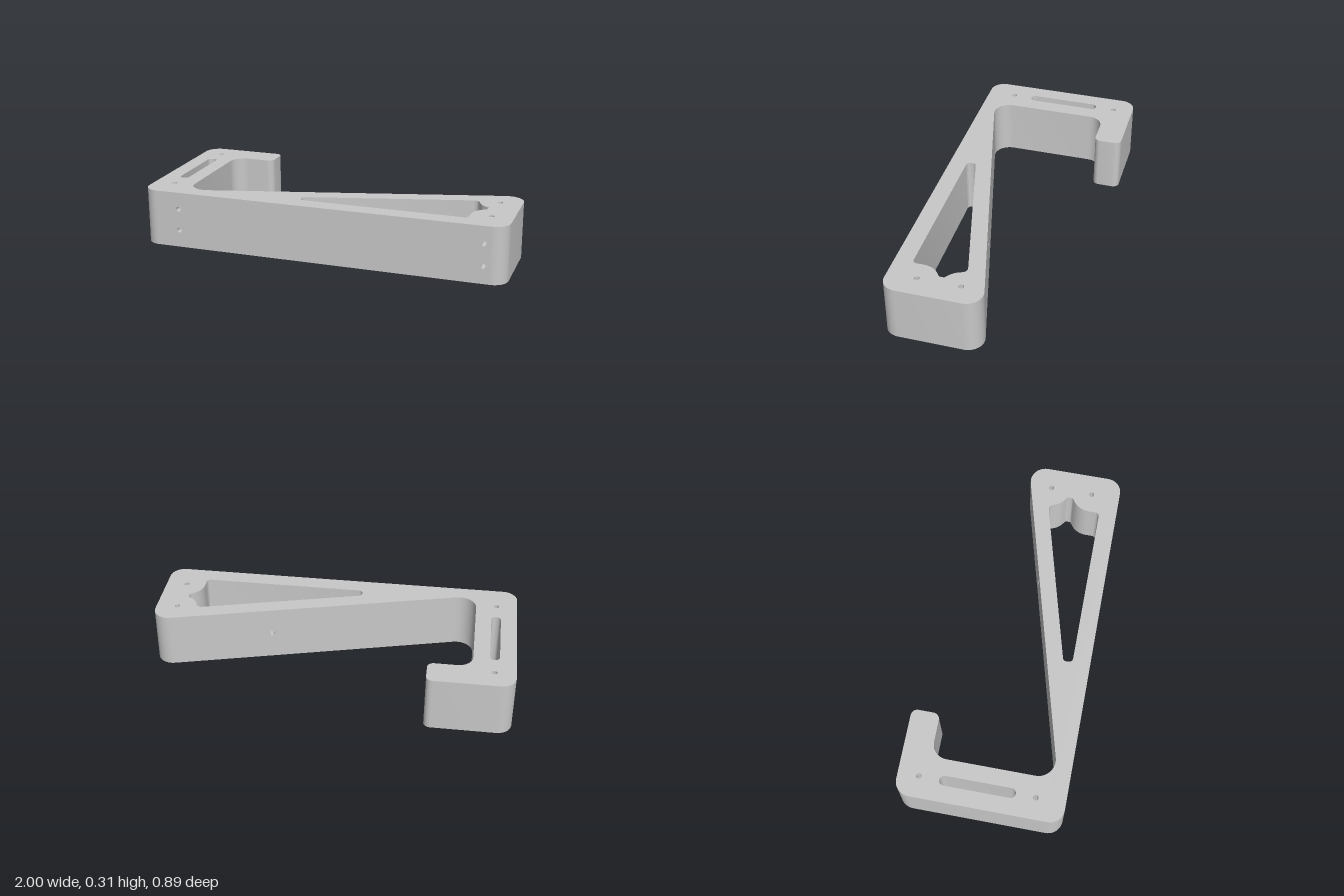
import * as THREE from 'three';
import { toCreasedNormals } from 'three/addons/utils/BufferGeometryUtils.js';

const H = 0.308, DEPTH = 0.443, TILT = Math.PI / 12;
const gray = new THREE.MeshStandardMaterial({ color: 0xc8c8c8, side: THREE.DoubleSide });
gray.name = 'light machined gray';

// Sloped edges of the arm, as z at a given x
const outerSlope = x => 0.348 - Math.tan(TILT) * (x + 0.655);
const innerSlope = x => 0.29 - Math.tan(TILT) * (x + 0.1);

// Closed outline from [x, z, cornerRadius] corners, in plan
function rounded(corners) {
  const out = [], n = corners.length;
  corners.forEach(([x, z, r], i) => {
    const c = new THREE.Vector2(x, -z);
    if (!r) { out.push(c); return; }
    const toward = k => new THREE.Vector2(corners[k][0], -corners[k][1]).sub(c).normalize();
    const a = toward((i + n - 1) % n), b = toward((i + 1) % n);
    const half = Math.acos(a.dot(b)) / 2;
    const center = a.clone().add(b).normalize().multiplyScalar(r / Math.sin(half)).add(c);
    const start = a.clone().multiplyScalar(r / Math.tan(half)).add(c).sub(center);
    const end = b.clone().multiplyScalar(r / Math.tan(half)).add(c).sub(center);
    const sweep = Math.atan2(start.cross(end), start.dot(end));
    for (let k = 0; k <= 10; k++) {
      out.push(start.clone().rotateAround(new THREE.Vector2(), sweep * k / 10).add(center));
    }
  });
  return out;
}

function circle(x, y, r) {
  return new THREE.Path().absarc(x, y, r, 0, Math.PI * 2, true);
}

// Points on a round boss, angles in degrees measured toward +z
function bossArc(x, z, r, from, to) {
  return Array.from({ length: 7 }, (_, i) => {
    const a = THREE.MathUtils.degToRad(from + (to - from) * i / 6);
    return [x + r * Math.cos(a), z + r * Math.sin(a), 0];
  });
}

function bodyGeometry() {
  const shape = new THREE.Shape(rounded([
    [-1, -DEPTH, 0.08], [-1, DEPTH, 0.08], [1, DEPTH, 0.08], [1, outerSlope(1), 0.085],
    [-0.773, outerSlope(-0.773), 0.09], [-0.773, -0.291, 0.08],
    [-0.538, -0.291, 0.035], [-0.538, -DEPTH, 0.035],
  ]));
  // Long slot in the upright
  shape.holes.push(new THREE.Path(rounded([
    [-0.912, -0.222, 0.0255], [-0.86, -0.222, 0.0255], [-0.86, 0.18, 0.0255], [-0.912, 0.18, 0.0255],
  ])));
  // Tapered pocket wrapping around two screw bosses
  shape.holes.push(new THREE.Path(rounded([
    [-0.127, 0.347, 0.023], [-0.127, innerSlope(-0.127), 0.02], [0.775, innerSlope(0.775), 0.03],
    ...bossArc(0.884, 0.055, 0.107, 165, 120),
    [0.842, 0.156, 0.01], [0.842, 0.184, 0.01],
    ...bossArc(0.884, 0.285, 0.107, 240, 180),
    [0.777, 0.347, 0.022],
  ])));
  // Vertical screw holes
  for (const [x, z] of [[-0.886, -0.33], [-0.886, 0.285], [0.884, 0.055], [0.884, 0.285]]) {
    shape.holes.push(circle(x, -z, 0.0145));
  }
  const geo = new THREE.ExtrudeGeometry(shape, { depth: H, bevelEnabled: false, curveSegments: 12 });
  geo.rotateX(-Math.PI / 2);
  return toCreasedNormals(geo, 0.6);
}

// Replace one flat wall of the body by a panel with blind screw holes
function drillWall(group, geo, name, origin, normal, holes, r, depth) {
  const up = new THREE.Vector3(0, 1, 0), along = up.clone().cross(normal);
  const keep = [], v = new THREE.Vector3();
  let min = Infinity, max = -Infinity;
  const pos = geo.attributes.position;
  for (let i = 0; i < pos.count; i += 3) {
    const offsets = [0, 1, 2].map(k => v.fromBufferAttribute(pos, i + k).sub(origin).clone());
    if (offsets.every(o => Math.abs(o.dot(normal)) < 1e-4)) {
      for (const o of offsets) {
        min = Math.min(min, o.dot(along));
        max = Math.max(max, o.dot(along));
      }
    } else keep.push(i, i + 1, i + 2);
  }
  geo.clearGroups();
  for (const key of Object.keys(geo.attributes)) {
    const attr = geo.attributes[key], size = attr.itemSize;
    const data = new Float32Array(keep.length * size);
    keep.forEach((src, j) => {
      for (let c = 0; c < size; c++) data[j * size + c] = attr.array[src * size + c];
    });
    geo.setAttribute(key, new THREE.BufferAttribute(data, size));
  }

  const wall = new THREE.Group();
  wall.name = name;
  const add = (part, geometry) => {
    const mesh = new THREE.Mesh(geometry, gray);
    mesh.name = part;
    wall.add(mesh);
  };
  const shape = new THREE.Shape([[min, 0], [max, 0], [max, H], [min, H]].map(p => new THREE.Vector2(...p)));
  for (const [x, y] of holes) {
    shape.holes.push(circle(x, y, r));
    add('holeBore', new THREE.CylinderGeometry(r, r, depth, 24, 1, true)
      .rotateX(Math.PI / 2).translate(x, y, -depth / 2));
    add('holeFloor', new THREE.CircleGeometry(r, 24).translate(x, y, -depth));
  }
  add('panel', new THREE.ShapeGeometry(shape, 24));
  wall.applyMatrix4(new THREE.Matrix4().makeBasis(along, up, normal).setPosition(origin));
  group.add(wall);
}

export function createModel() {
  const group = new THREE.Group();
  group.name = 'bracket';
  const geo = bodyGeometry();

  // Four screw holes in the front wall
  drillWall(group, geo, 'frontWall', new THREE.Vector3(0, 0, DEPTH), new THREE.Vector3(0, 0, 1),
    [[-0.79, 0.094], [-0.79, 0.214], [0.884, 0.094], [0.884, 0.214]], 0.013, 0.12);
  // One set-screw hole in the sloped wall
  drillWall(group, geo, 'slopedWall', new THREE.Vector3(0.354, 0, outerSlope(0.354)),
    new THREE.Vector3(-Math.sin(TILT), 0, -Math.cos(TILT)), [[0, H / 2]], 0.016, 0.08);

  const body = new THREE.Mesh(geo, gray);
  body.name = 'bracketBody';
  group.add(body);
  return group;
}
